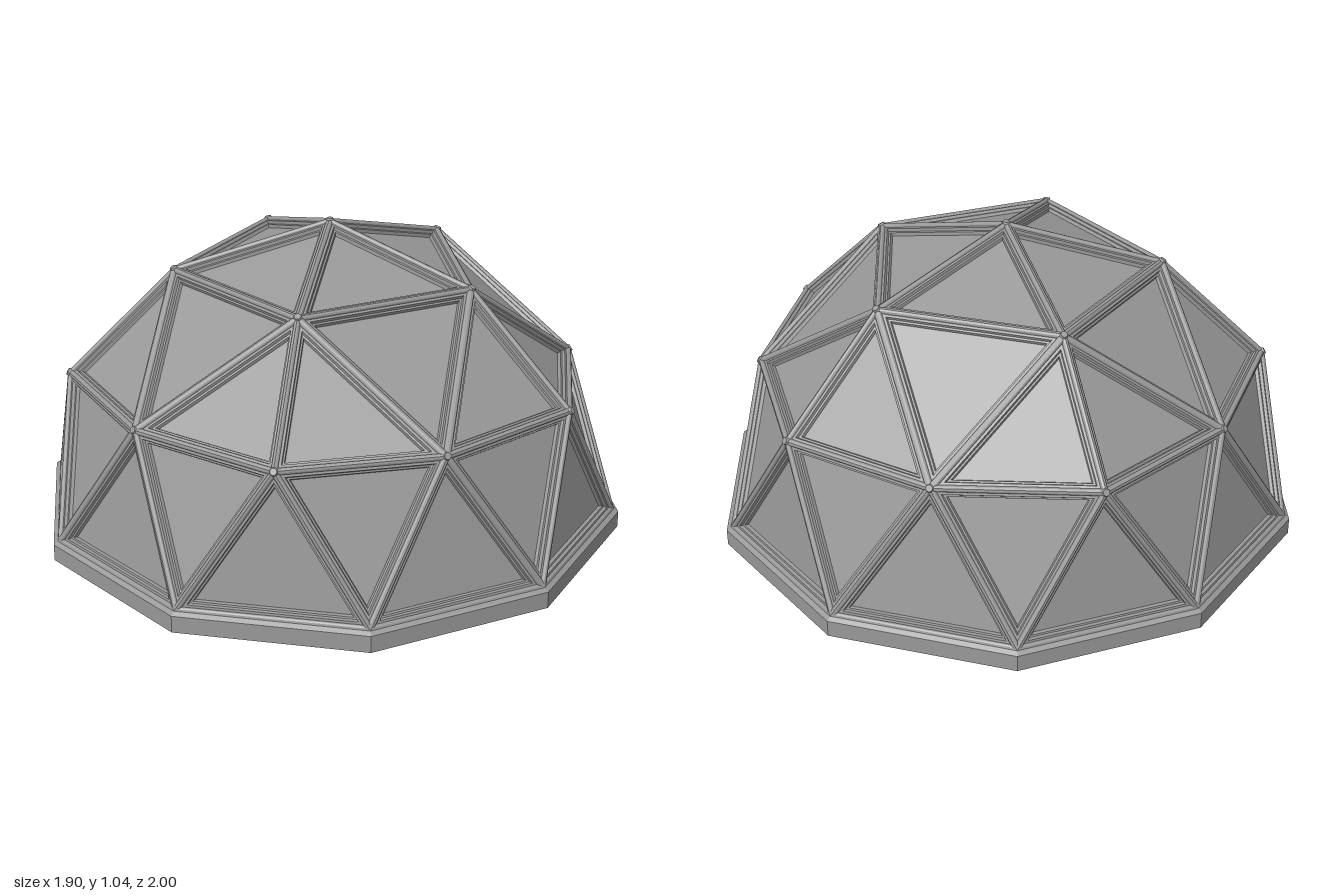
import * as THREE from 'three';

const material = new THREE.MeshStandardMaterial({ color: 0x999999, flatShading: true });

// Frame cross-section for each cell: [inset from the edge, depth below the edge plane]
const PROFILE = [[0, 0], [0.007, 0.001], [0.011, 0.004], [0.013, 0.009], [0.021, 0.009],
  [0.024, 0.019], [0.03, 0.02], [0.033, 0.031]];

const polar = (radius, y, degrees) => {
  const a = THREE.MathUtils.degToRad(degrees);
  return new THREE.Vector3(radius * Math.cos(a), y, radius * Math.sin(a));
};

function meshFrom(positions, name) {
  const geometry = new THREE.BufferGeometry();
  geometry.setAttribute('position', new THREE.Float32BufferAttribute(positions, 3));
  geometry.computeVertexNormals();
  const mesh = new THREE.Mesh(geometry, material);
  mesh.name = name;
  return mesh;
}

// One triangular cell: stepped frame around a recessed pane
function buildCell(a, b, c) {
  const normal = new THREE.Triangle(a, b, c).getNormal(new THREE.Vector3());
  if (normal.dot(a.clone().add(b).add(c)) < 0) return buildCell(a, c, b);

  const corners = [a, b, c];
  const la = b.distanceTo(c), lb = c.distanceTo(a), lc = a.distanceTo(b);
  const perimeter = la + lb + lc;
  const centre = new THREE.Vector3().addScaledVector(a, la).addScaledVector(b, lb)
    .addScaledVector(c, lc).divideScalar(perimeter);
  const inradius = 2 * new THREE.Triangle(a, b, c).getArea() / perimeter;
  const rings = PROFILE.map(([inset, depth]) => corners.map((p) =>
    p.clone().lerp(centre, inset / inradius).addScaledVector(normal, -depth)));

  const frame = [];
  for (let k = 0; k + 1 < rings.length; k++) {
    for (let i = 0; i < 3; i++) {
      const j = (i + 1) % 3, o = rings[k], n = rings[k + 1];
      for (const p of [o[i], o[j], n[j], o[i], n[j], n[i]]) frame.push(p.x, p.y, p.z);
    }
  }
  const pane = rings[rings.length - 1].flatMap((p) => p.toArray());

  const cell = new THREE.Group();
  cell.name = 'domeCell';
  cell.add(meshFrom(frame, 'frame'), meshFrom(pane, 'pane'));
  return cell;
}

export function createModel() {
  const model = new THREE.Group();
  model.name = 'geodesicDome';

  // Ten-sided foundation with a bevelled top edge
  const profile = [[0, 0], [1, 0], [1, 0.057], [0.985, 0.067], [0, 0.067]]
    .map(([x, y]) => new THREE.Vector2(x, y));
  const foundation = new THREE.Mesh(new THREE.LatheGeometry(profile, 10), material);
  foundation.name = 'foundation';
  model.add(foundation);

  // Rings of dome nodes
  const apex = new THREE.Vector3(0, 1.043, 0);
  const upper = [], middle = [], lower = [];
  for (let k = 0; k < 5; k++) upper.push(polar(0.52, 0.895, 72 * k));
  for (let j = 0; j < 10; j++) {
    middle.push(polar(j % 2 ? 0.837 : 0.88, 0.542, 36 * j));
    lower.push(polar(0.985, 0.067, 36 * j + 18));
  }

  // Triangular cells
  const cells = new THREE.Group();
  cells.name = 'domeShell';
  for (let k = 0; k < 5; k++) {
    const u = upper[k], v = upper[(k + 1) % 5], m = middle[2 * k + 1];
    cells.add(buildCell(apex, u, v));
    cells.add(buildCell(u, middle[2 * k], m));
    cells.add(buildCell(u, m, v));
    cells.add(buildCell(v, m, middle[(2 * k + 2) % 10]));
  }
  for (let j = 0; j < 10; j++) {
    cells.add(buildCell(middle[j], lower[j], middle[(j + 1) % 10]));
    cells.add(buildCell(middle[j], lower[(j + 9) % 10], lower[j]));
  }
  model.add(cells);

  // Small round hubs where the struts meet
  const hubGeometry = new THREE.CylinderGeometry(0.011, 0.015, 0.01, 10);
  const up = new THREE.Vector3(0, 1, 0);
  for (const node of [apex, ...upper, ...middle]) {
    const hub = new THREE.Mesh(hubGeometry, material);
    hub.name = 'hub';
    const outward = node.clone().sub(new THREE.Vector3(0, 0.05, 0)).normalize();
    hub.quaternion.setFromUnitVectors(up, outward);
    hub.position.copy(node).addScaledVector(outward, -0.004);
    model.add(hub);
  }
  return model;
}
